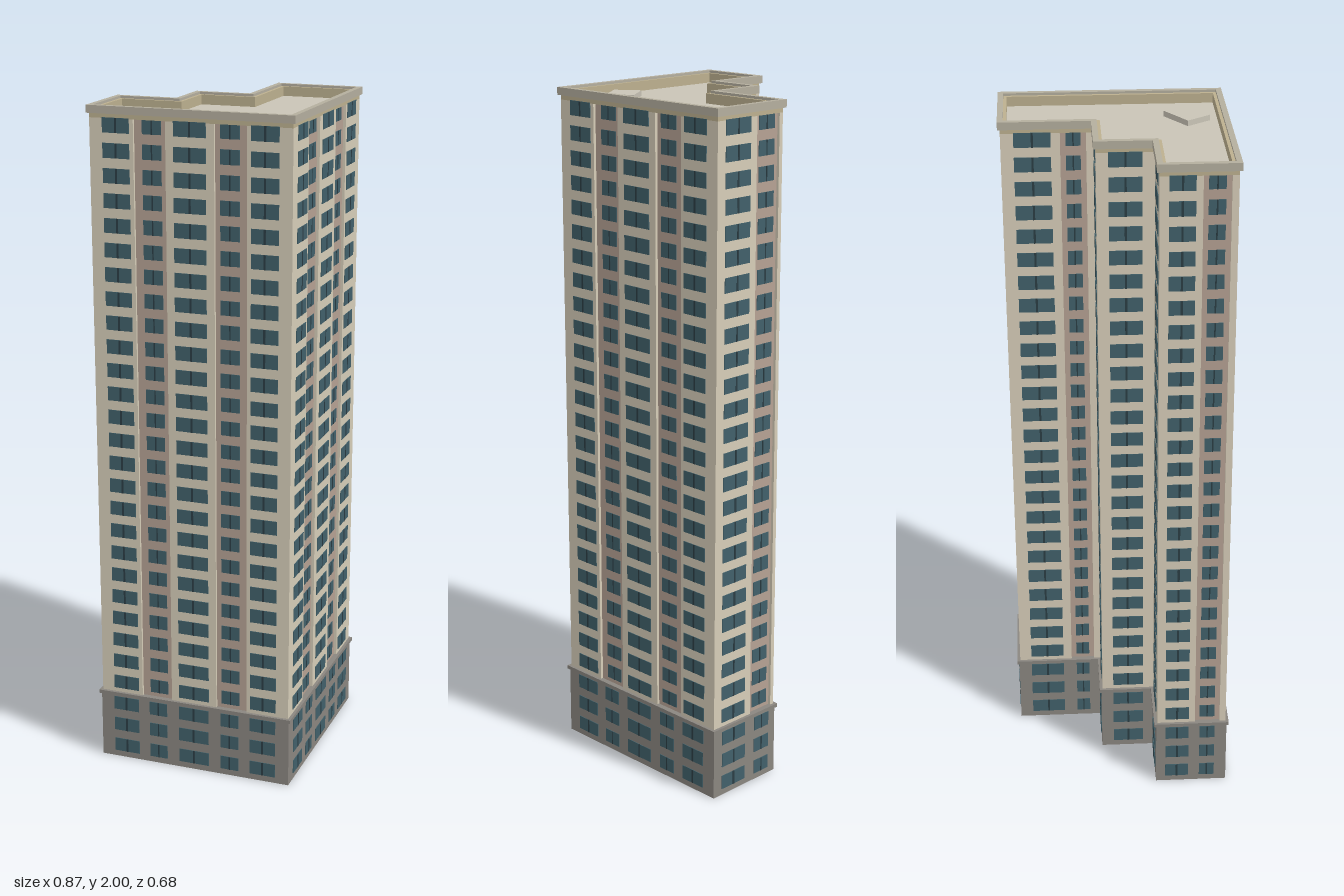
import * as THREE from 'three';
import { mergeGeometries } from 'three/addons/utils/BufferGeometryUtils.js';

const mat = (name, color) => {
  const m = new THREE.MeshStandardMaterial({ color });
  m.name = name;
  return m;
};

// Stepped footprint: [length along the long axis u, length along v] per edge, all corners square
const U = [0.817, 0.577], V = [0.577, -0.817];
const STEPS = [[0.598, 0], [0, 0.62], [-0.25, 0], [0, -0.255], [-0.165, 0], [0, -0.158], [-0.183, 0], [0, -0.207]];
const FOOTPRINT = [];
{
  let x = -0.423, z = -0.02;
  for (const [a, b] of STEPS) {
    FOOTPRINT.push([x, z]);
    x += a * U[0] + b * V[0];
    z += a * U[1] + b * V[1];
  }
}

// Direction of each edge; its outward normal is (-dz, dx)
const edges = FOOTPRINT.map(([x, z], i) => {
  const [x2, z2] = FOOTPRINT[(i + 1) % FOOTPRINT.length];
  const len = Math.hypot(x2 - x, z2 - z);
  return { x, z, len, dx: (x2 - x) / len, dz: (z2 - z) / len };
});

// Footprint grown (or shrunk) by d on every side
const outline = (d) => FOOTPRINT.map(([x, z], i) => {
  const a = edges[(i + 7) % 8], b = edges[i];
  return new THREE.Vector2(x - d * (a.dz + b.dz), -(z + d * (a.dx + b.dx)));
});

// Upright slab from y0 to y1, optionally hollowed to a ring
function slab(outer, y0, y1, inner) {
  const shape = new THREE.Shape(outline(outer));
  if (inner !== undefined) shape.holes.push(new THREE.Path(outline(inner)));
  const g = new THREE.ExtrudeGeometry(shape, { depth: y1 - y0, bevelEnabled: false });
  return g.rotateX(-Math.PI / 2).translate(0, y0, 0);
}

// Box on a facade: t0..t1 are fractions of the edge, z0..z1 distances outward
function facadeBox(e, t0, t1, y0, y1, z0, z1) {
  const g = new THREE.BoxGeometry((t1 - t0) * e.len, y1 - y0, z1 - z0);
  g.translate((t0 + t1) / 2 * e.len, (y0 + y1) / 2, (z0 + z1) / 2);
  return g.rotateY(Math.atan2(-e.dz, e.dx)).translate(e.x, 0, e.z);
}

// Facade layouts: wide windows on the wall, narrow ones inside recessed bays
const LONG = {
  wide: [[0.065, 0.2], [0.42, 0.58], [0.8, 0.935]],
  narrow: [[0.26, 0.355], [0.645, 0.74]],
  bays: [[0.22, 0.38], [0.62, 0.78]],
};
const single = { wide: [[0.21, 0.79]], narrow: [], bays: [] };
const LAYOUTS = [
  LONG, LONG,
  { wide: [[0.12, 0.5]], narrow: [[0.66, 0.9]], bays: [[0.6, 0.95]] },
  { wide: [[0.14, 0.54]], narrow: [[0.7, 0.86]], bays: [[0.64, 0.92]] },
  single, single, single,
  { wide: [[0.12, 0.46]], narrow: [[0.62, 0.84]], bays: [[0.55, 0.91]] },
];

const BASE_TOP = 0.212, ROOF = 1.965, RECESS = 0.008;
const FLOORS = 28, BASE_FLOORS = 3, PITCH = 0.0706, WINDOW_H = 0.042;

export function createModel() {
  const group = new THREE.Group();
  const wall = mat('cream wall', 0xd6cdb8);
  const bay = mat('brown bay', 0xb5a193);
  const base = mat('grey base', 0x8a8680);
  const glass = mat('teal glass', 0x41606a);
  const frame = mat('dark frame', 0x2b3d44);
  const roof = mat('roof', 0xc9c4b6);
  const coping = mat('coping', 0xb4ae9e);
  const parapet = mat('parapet', 0xbcb08f);

  const add = (name, geometry, material) => {
    const m = new THREE.Mesh(geometry, material);
    m.name = name;
    group.add(m);
  };

  // Main masses
  add('base', slab(0.003, 0, BASE_TOP), base);
  add('baseLedge', slab(0.009, 0.207, 0.218), base);
  add('towerCore', slab(-RECESS, BASE_TOP, ROOF), [roof, bay]);
  add('parapet', slab(0, ROOF, 1.993, -0.018), parapet);
  add('coping', slab(0.007, 1.978, 2, -0.009), coping);

  // Facades
  const walls = [], panes = [], mullions = [];
  edges.forEach((e, i) => {
    const { wide, narrow, bays } = LAYOUTS[i];

    // Wall panels between the recessed bays
    let t = 0;
    for (const [b0, b1] of [...bays, [1, 1]]) {
      walls.push(facadeBox(e, t, b0, BASE_TOP, ROOF, -RECESS, 0));
      t = b1;
    }

    // Windows on every floor
    for (let f = 0; f < FLOORS; f++) {
      const y0 = 0.04 + f * PITCH - WINDOW_H / 2, y1 = y0 + WINDOW_H;
      const inBase = f < BASE_FLOORS;
      const window = ([t0, t1], z, isWide) => {
        panes.push(facadeBox(e, t0, t1, y0, y1, z - 0.002, z + 0.002));
        const mid = (t0 + t1) / 2, half = (isWide ? 0.003 : 0.002) / e.len;
        mullions.push(facadeBox(e, mid - half, mid + half, y0, y1, z, z + 0.003));
      };
      wide.forEach((w) => window(w, inBase ? 0.003 : 0, true));
      narrow.forEach((w) => window(w, inBase ? 0.003 : -RECESS, false));
    }
  });
  add('wallPanels', mergeGeometries(walls), wall);
  add('windowPanes', mergeGeometries(panes), glass);
  add('windowMullions', mergeGeometries(mullions), frame);

  // Rooftop hatch
  add('roofHatch', new THREE.BoxGeometry(0.106, 0.016, 0.08).translate(0.003, ROOF + 0.008, 0.156), roof);

  return group;
}
